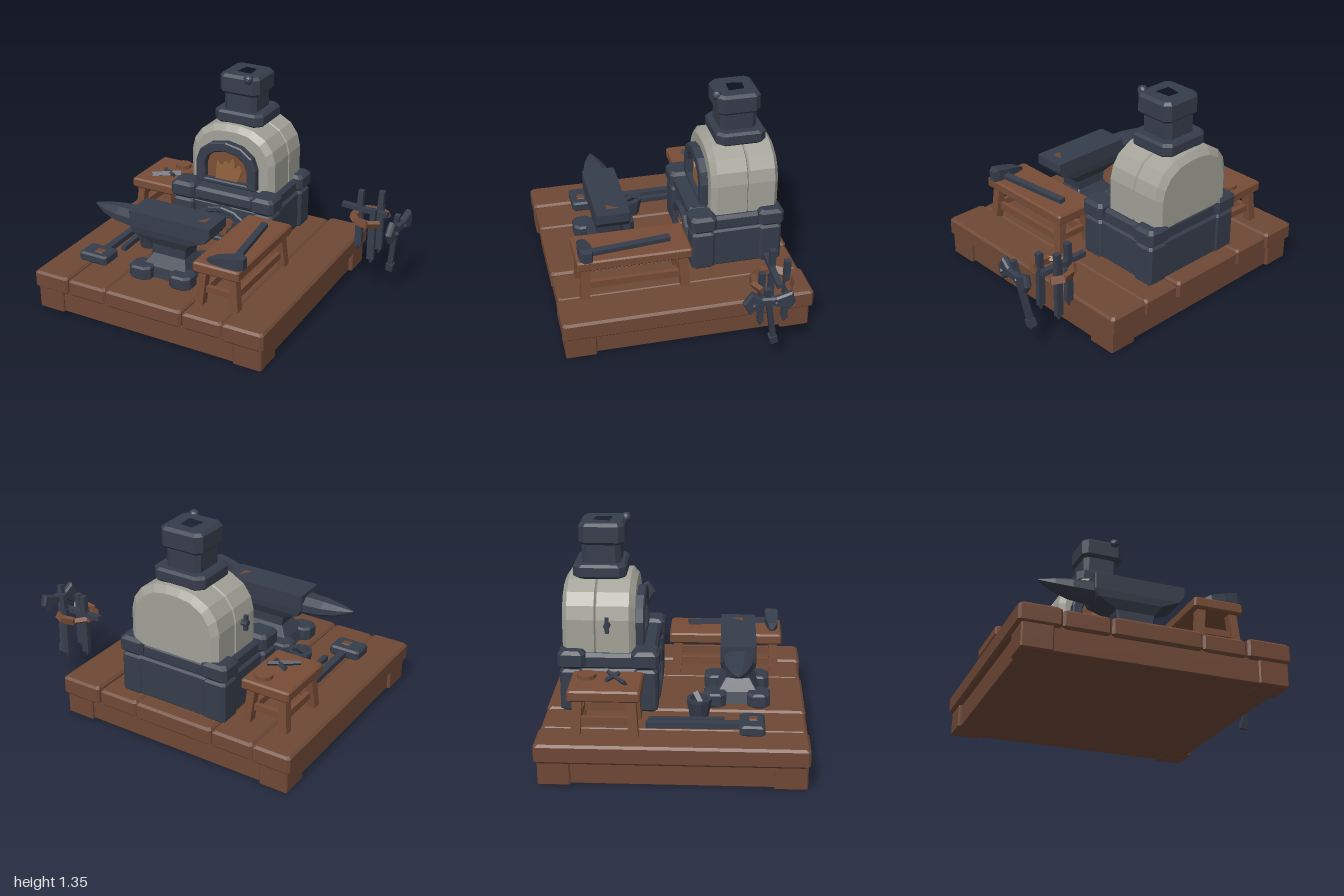
import * as THREE from 'three';

const mat = (name, color) => {
  const m = new THREE.MeshStandardMaterial({ color });
  m.name = name;
  return m;
};

export function createModel() {
  const root = new THREE.Group();
  const wood = mat('plank wood', 0x6f4836), bench = mat('bench wood', 0x774c36);
  const iron = mat('dark iron', 0x363d4b), stone = mat('pale stone', 0xa2a298);
  const ember = mat('ember', 0x7d4f36), flame = mat('flame', 0x94643f);

  const add = (name, geo, m, parent = root) => {
    let g = geo;
    if (g.index) g = g.toNonIndexed();
    g.computeVertexNormals();
    const mesh = new THREE.Mesh(g, m);
    mesh.name = name;
    parent.add(mesh);
    return mesh;
  };
  // joins convex rings of [x, y, z] points and caps both ends
  const loft = (rings) => {
    const n = rings[0].length, v = [], idx = [];
    rings.forEach((r) => r.forEach((p) => v.push(...p)));
    for (let k = 0; k < rings.length - 1; k++)
      for (let i = 0; i < n; i++) {
        const a = k * n + i, b = k * n + (i + 1) % n;
        idx.push(a, b, b + n, a, b + n, a + n);
      }
    const e = (rings.length - 1) * n;
    for (let i = 1; i < n - 1; i++) idx.push(0, i + 1, i, e, e + i, e + i + 1);
    const g = new THREE.BufferGeometry();
    g.setAttribute('position', new THREE.Float32BufferAttribute(v, 3));
    g.setIndex(idx);
    return g;
  };
  const ring = (y, x0, x1, z0, z1, c) => [
    [x1, y, z1 - c], [x1, y, z0 + c], [x1 - c, y, z0], [x0 + c, y, z0],
    [x0, y, z0 + c], [x0, y, z1 - c], [x0 + c, y, z1], [x1 - c, y, z1]];
  // box with bevelled edges
  const block = (name, m, x0, x1, y0, y1, z0, z1, b = 0.012, c = b, parent = root) =>
    add(name, loft([[y0, b], [y0 + b, 0], [y1 - b, 0], [y1, b]].map(([y, s]) =>
      ring(y, x0 + s, x1 - s, z0 + s, z1 - s, c))), m, parent);
  // straight bar between two points
  const bar = (name, m, p, q, w, d = w, parent = root, sides = 0) => {
    const a = new THREE.Vector3(...p), b = new THREE.Vector3(...q), len = a.distanceTo(b);
    const geo = sides ? new THREE.CylinderGeometry(w / 2, d / 2, len, sides) : new THREE.BoxGeometry(w, len, d);
    const mesh = add(name, geo, m, parent);
    mesh.position.copy(a).add(b).multiplyScalar(0.5);
    mesh.quaternion.setFromUnitVectors(new THREE.Vector3(0, 1, 0), b.sub(a).normalize());
    return mesh;
  };
  const shapeOf = (pts) => new THREE.Shape(pts.map(([x, y]) => new THREE.Vector2(x, y)));

  // platform
  block('platformBase', wood, -0.96, 0.55, 0.005, 0.15, -0.735, 0.745, 0.005);
  for (const [x0, x1] of [[-0.98, -0.8], [0.39, 0.575]])
    for (const [z0, z1] of [[-0.755, -0.57], [0.57, 0.76]]) block('platformFoot', wood, x0, x1, 0, 0.15, z0, z1, 0.008);
  [[-1, -0.757, 0], [-0.755, -0.483, -0.006], [-0.481, 0.048, -0.002], [0.05, 0.318, -0.008], [0.32, 0.59, 0.004]]
    .forEach(([a, b, d]) => block('plank', wood, a, b, 0.14, 0.255 + d, -0.772 - d, 0.77 + d, 0.014));

  // furnace plinth with corner blocks
  block('plinth', iron, -0.5, 0.18, 0.25, 0.51, -0.67, -0.14);
  block('plinthTop', iron, -0.49, 0.17, 0.5, 0.6, -0.66, -0.13, 0.02);
  for (const [x0, x1] of [[-0.53, -0.36], [0.05, 0.21]])
    for (const [z0, z1] of [[-0.69, -0.53], [-0.26, -0.095]]) {
      block('cornerPost', iron, x0 + 0.01, x1 - 0.01, 0.25, 0.51, z0 + 0.01, z1 - 0.01, 0.014);
      block('cornerCap', iron, x0, x1, 0.515, 0.625, z0, z1, 0.02);
    }
  block('frontLedge', iron, -0.37, 0.06, 0.52, 0.61, -0.25, -0.115, 0.018);

  // arch outline standing on y0
  const arch = (cx, y0, hw, h) => {
    const pts = [[cx - hw, y0], [cx + hw, y0]];
    for (let i = 0; i <= 6; i++) {
      const a = Math.PI * i / 6;
      pts.push([cx + hw * Math.cos(a), y0 + h * (0.48 + 0.52 * Math.sin(a))]);
    }
    return pts;
  };
  const archFrame = (name, cx, y0, hw, h, t, z0, z1) => {
    const s = shapeOf(arch(cx, y0, hw, h));
    s.holes.push(new THREE.Path(arch(cx, y0 + 0.03, hw - t, h - t - 0.03).map(([x, y]) => new THREE.Vector2(x, y))));
    add(name, new THREE.ExtrudeGeometry(s, {
      depth: z1 - z0 - 0.016, bevelThickness: 0.008, bevelSize: 0.008, bevelOffset: -0.008, bevelSegments: 1,
    }), iron).position.z = z0 + 0.008;
  };
  archFrame('ashOpening', -0.16, 0.26, 0.19, 0.25, 0.04, -0.16, -0.1);
  for (const [x, y] of [[-0.24, 0.33], [-0.16, 0.33], [-0.08, 0.33], [-0.2, 0.39], [-0.12, 0.39]])
    bar('firewood', bench, [x, y, -0.2], [x, y, -0.12], 0.065, 0.065, root, 7);

  // rounded stone oven with a seam around the middle
  const oven = [[-0.3, 0], [0.3, 0], [0.3, 0.2], [0.28, 0.28], [0.23, 0.35], [0.14, 0.4], [0.05, 0.415],
    [-0.05, 0.415], [-0.14, 0.4], [-0.23, 0.35], [-0.28, 0.28], [-0.3, 0.2]];
  add('oven', loft([[-0.67, 0.04], [-0.64, 0], [-0.48, 0], [-0.472, 0.012], [-0.464, 0], [-0.275, 0], [-0.24, 0.035]]
    .map(([z, s]) => oven.map(([x, y]) => [-0.16 + x * (1 - s / 0.3), 0.6 + y * (1 - s / 0.41), z]))), stone);
  archFrame('ovenMouth', -0.175, 0.62, 0.215, 0.3, 0.065, -0.26, -0.19);
  add('emberGlow', new THREE.ShapeGeometry(shapeOf(arch(-0.175, 0.64, 0.17, 0.24))), ember).position.z = -0.234;
  const flames = shapeOf([[-0.26, 0.65], [-0.1, 0.65], [-0.07, 0.73], [-0.09, 0.77], [-0.12, 0.74], [-0.125, 0.82],
    [-0.17, 0.76], [-0.19, 0.78], [-0.22, 0.74], [-0.25, 0.77]]);
  add('fire', new THREE.ExtrudeGeometry(flames, { depth: 0.012, bevelEnabled: false }), flame).position.z = -0.23;

  // side valve
  bar('valveStem', iron, [-0.44, 0.775, -0.4], [-0.5, 0.775, -0.4], 0.04, 0.04, root, 8);
  bar('valveHandle', iron, [-0.485, 0.73, -0.4], [-0.485, 0.825, -0.4], 0.022);

  // chimney
  block('chimneyCollar', iron, -0.325, 0.02, 1.005, 1.09, -0.615, -0.3, 0.015, 0.04);
  block('chimneyShaft', iron, -0.27, -0.04, 1.08, 1.215, -0.565, -0.335, 0.01, 0.03);
  const cap = shapeOf(ring(0, -0.14, 0.14, -0.135, 0.135, 0.035).map(([x, , z]) => [x, z]));
  cap.holes.push(new THREE.Path([[-0.07, -0.06], [-0.05, 0.075], [0.06, 0.065], [0.07, -0.07]]
    .map(([x, y]) => new THREE.Vector2(x, y))));
  const capGeo = new THREE.ExtrudeGeometry(cap, {
    depth: 0.095, bevelThickness: 0.018, bevelSize: 0.018, bevelOffset: -0.018, bevelSegments: 1 });
  add('chimneyCap', capGeo.rotateX(-Math.PI / 2), iron).position.set(-0.15, 1.218, -0.445);
  add('chimneyKnob', new THREE.IcosahedronGeometry(0.032, 1), iron).position.set(-0.075, 1.32, -0.315);

  // tables: top, splayed legs and stretchers
  const table = (name, x0, x1, z0, z1) => {
    const g = new THREE.Group();
    g.name = name;
    root.add(g);
    block('tableTop', bench, x0, x1, 0.465, 0.532, z0, z1, 0.01, 0.01, g);
    const xs = [x0 + 0.055, x1 - 0.055], zs = [z0 + 0.055, z1 - 0.055];
    xs.forEach((x, i) => {
      zs.forEach((z, j) => bar('tableLeg', bench, [x + (i ? 0.02 : -0.02), 0.25, z + (j ? 0.015 : -0.015)], [x, 0.47, z], 0.05, 0.055, g));
      bar('sideStretcher', bench, [x, 0.335, zs[0]], [x, 0.335, zs[1]], 0.03, 0.045, g);
    });
    zs.forEach((z) => bar('endStretcher', bench, [xs[0], 0.345, z], [xs[1], 0.345, z], 0.04, 0.03, g));
  };
  table('smallTable', -0.88, -0.57, -0.59, -0.18);
  table('longBench', 0.06, 0.365, -0.065, 0.64);
  bar('woodDisc', bench, [-0.67, 0.53, -0.5], [-0.67, 0.555, -0.5], 0.11, 0.11, root, 10);
  bar('smallTongs', iron, [-0.78, 0.542, -0.27], [-0.62, 0.542, -0.38], 0.03, 0.02);
  bar('smallTongs', iron, [-0.74, 0.545, -0.38], [-0.64, 0.545, -0.32], 0.025, 0.02);

  // hammer lying on the bench
  bar('hammerHandle', iron, [0.235, 0.55, 0.05], [0.29, 0.55, 0.56], 0.04, 0.03);
  add('hammerHead', loft([[0.13, 0.58, 0.012, 0.545], [0.18, 0.585, 0.03, 0.57], [0.26, 0.582, 0.04, 0.59],
    [0.34, 0.58, 0.04, 0.608], [0.375, 0.575, 0.025, 0.6]].map(([x, z, h, y1]) =>
    [[x, 0.532, z - h], [x, y1, z - h], [x, y1, z + h], [x, 0.532, z + h]])), iron);

  // anvil
  const anvil = new THREE.Group();
  anvil.name = 'anvil';
  root.add(anvil);
  add('anvilBody', loft([[0.26, -0.4, -0.06, 0.13], [0.33, -0.38, -0.08, 0.12], [0.4, -0.33, -0.11, 0.075], [0.46, -0.34, -0.1, 0.075],
    [0.515, -0.46, -0.06, 0.1], [0.56, -0.48, 0.05, 0.105], [0.6, -0.48, 0.08, 0.105], [0.66, -0.48, 0.08, 0.105]]
    .map(([y, a, b, h]) => ring(y, a, b, 0.365 - h, 0.365 + h, 0.006))), iron, anvil);
  for (const sx of [-1, 1]) for (const sz of [-1, 1]) {
    const x = -0.235 + sx * 0.14, z = 0.36 + sz * 0.13;
    block('anvilFoot', iron, x - 0.075, x + 0.075, 0.25, 0.34, z - 0.068, z + 0.068, 0.012, 0.03, anvil);
  }
  const horn = [[-0.79, 0.05], [-0.76, 0.25], [-0.7, 0.55], [-0.6, 0.85], [-0.46, 1]];
  add('anvilHorn', loft(horn.map(([x, s]) => Array.from({ length: 8 }, (_, i) => {
    const a = -Math.PI * 2 * (i + 0.5) / 8;
    return [x, 0.6 - s * 0.028 + Math.sin(-a) * 0.066 * s, 0.365 + Math.cos(-a) * 0.098 * s];
  }).reverse())), iron, anvil);
  const notch = add('anvilNotch', new THREE.ShapeGeometry(shapeOf([[-0.04, -0.395], [0.012, -0.395], [0.012, -0.32]])), wood, anvil);
  notch.rotation.x = -Math.PI / 2;
  notch.position.y = 0.662;

  // sledge and rod on the floor
  block('sledgeHead', iron, -0.835, -0.635, 0.25, 0.315, 0.375, 0.52, 0.012);
  block('sledgeSocket', wood, -0.745, -0.69, 0.31, 0.318, 0.43, 0.48, 0.003);
  bar('sledgeHandle', iron, [-0.735, 0.275, -0.16], [-0.73, 0.28, 0.39], 0.045, 0.035);
  bar('floorRod', iron, [-0.665, 0.27, -0.15], [-0.655, 0.27, 0.29], 0.032);

  // bucket with a ladle
  const tub = [[0, 0], [0.055, 0], [0.075, 0.1], [0.075, 0.115], [0.055, 0.115], [0.05, 0.08], [0, 0.08]];
  add('bucket', new THREE.LatheGeometry(tub.map(([x, y]) => new THREE.Vector2(x, y)), 9), iron).position.set(-0.555, 0.25, 0.14);
  bar('ladle', iron, [-0.58, 0.33, 0.16], [-0.53, 0.39, 0.12], 0.03);

  // hanging rack: open wooden hoop with tools
  for (let i = 0; i < 7; i++) {
    const p = (k) => {
      const a = 0.75 + k * (Math.PI * 2 - 1.5) / 7;
      return [0.74 + 0.115 * Math.cos(a), 0.505, -0.44 + 0.115 * Math.sin(a)];
    };
    bar('rackHoop', bench, p(i), p(i + 1), 0.028, 0.045).rotateY(Math.PI / 2);
  }
  bar('rackBar', iron, [0.53, 0.54, -0.47], [0.84, 0.53, -0.46], 0.03, 0.035);
  for (const [x, z, y0, y1] of [[0.65, -0.47, 0.24, 0.66], [0.77, -0.52, 0.22, 0.66], [0.775, -0.37, 0.22, 0.6]]) {
    bar('toolBlade', iron, [x, y0 + 0.03, z], [x, y1 - 0.1, z], 0.045, 0.03);
    bar('toolTip', iron, [x, y0, z], [x, y0 + 0.04, z], 0.042, 0.012, root, 4);
    bar('toolGrip', iron, [x, y1 - 0.11, z], [x + 0.005, y1, z], 0.035);
  }

  // double-bladed axe
  bar('axeHandle', iron, [0.89, 0.19, -0.42], [0.945, 0.61, -0.345], 0.032);
  bar('axePommel', iron, [0.888, 0.18, -0.422], [0.895, 0.23, -0.41], 0.045);
  const blades = shapeOf([[0.04, -0.025], [0.11, -0.075], [0.15, 0], [0.1, 0.075], [0.04, 0.035], [-0.04, 0.035],
    [-0.13, 0.07], [-0.15, 0], [-0.12, -0.05], [-0.04, -0.025]].reverse());
  const axe = add('axeHead', new THREE.ExtrudeGeometry(blades, { depth: 0.02, bevelThickness: 0.012, bevelSize: 0.01,
    bevelOffset: -0.01, bevelSegments: 1 }).translate(0, 0, -0.01).rotateY(-Math.PI / 2), iron);
  axe.position.set(0.95, 0.52, -0.36);
  axe.rotation.y = -0.12;
  for (const z of [-0.4, -0.27])
    add('axeRivet', new THREE.IcosahedronGeometry(0.016, 0), iron).position.set(0.972, 0.52, z);

  return root;
}
